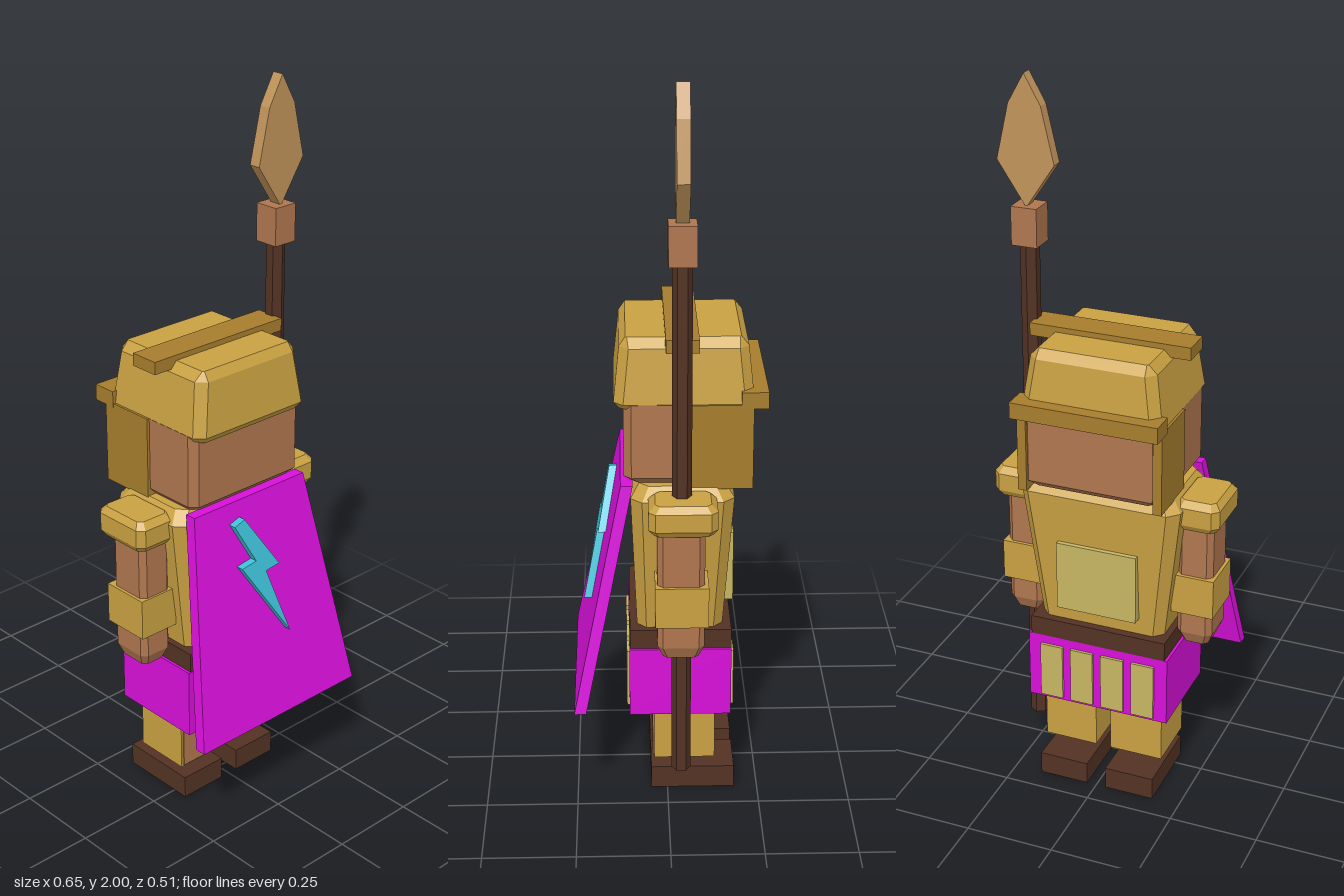
import * as THREE from 'three';

const mat = (name, color) => {
  const m = new THREE.MeshStandardMaterial({ color });
  m.name = name;
  m.flatShading = true;
  return m;
};

// Stack of rectangular rings with cut corners: [y, halfWidth, zBack, zFront, cut]
function loft(rings) {
  const pos = [], idx = [], n = 8;
  for (const [y, w, a, b, c] of rings) {
    const loop = [[w, b - c], [w, a + c], [w - c, a], [c - w, a], [-w, a + c], [-w, b - c], [c - w, b], [w - c, b]];
    for (const [x, z] of loop) pos.push(x, y, z);
  }
  for (let r = 0; r < rings.length - 1; r++) {
    for (let i = 0; i < n; i++) {
      const p = r * n + i, q = r * n + (i + 1) % n;
      idx.push(p, q, q + n, p, q + n, p + n);
    }
  }
  const t = (rings.length - 1) * n;
  for (let i = 1; i < n - 1; i++) idx.push(0, i + 1, i, t, t + i, t + i + 1);
  const g = new THREE.BufferGeometry();
  g.setAttribute('position', new THREE.Float32BufferAttribute(pos, 3));
  g.setIndex(idx);
  const flat = g.toNonIndexed();
  flat.computeVertexNormals();
  return flat;
}

// Box given by its limits on each axis
function block(x0, x1, y0, y1, z0, z1) {
  return new THREE.BoxGeometry(x1 - x0, y1 - y0, z1 - z0)
    .translate((x0 + x1) / 2, (y0 + y1) / 2, (z0 + z1) / 2);
}

// Move each vertex by a rule
function warp(g, rule) {
  const p = g.attributes.position, v = new THREE.Vector3();
  for (let i = 0; i < p.count; i++) {
    rule(v.fromBufferAttribute(p, i));
    p.setXYZ(i, v.x, v.y, v.z);
  }
  g.computeVertexNormals();
  return g;
}

function plate(points, depth) {
  const s = new THREE.Shape(points.map(([x, y]) => new THREE.Vector2(x, y)));
  return new THREE.ExtrudeGeometry(s, { depth, bevelEnabled: false });
}

export function createModel() {
  const model = new THREE.Group();
  const gold = mat('gold', 0xc9a142);
  const darkGold = mat('darkGold', 0xa67d2d);
  const paleGold = mat('paleGold', 0xc6b462);
  const skin = mat('skin', 0xb0764f);
  const brown = mat('darkBrown', 0x533224);
  const magenta = mat('magenta', 0xd810da);
  const cyan = mat('cyan', 0x3fc1d8);
  const bronze = mat('bronze', 0xc0935a);

  const add = (name, geometry, material) => {
    const m = new THREE.Mesh(geometry, material);
    m.name = name;
    model.add(m);
    return m;
  };

  // Head and helmet
  add('head', loft([
    [0.935, 0.175, -0.195, 0.095, 0.02], [0.955, 0.195, -0.215, 0.115, 0.02],
    [1.16, 0.195, -0.215, 0.115, 0.02]]), skin);
  add('helmet', loft([
    [1.14, 0.18, -0.21, 0.125, 0.02], [1.16, 0.196, -0.225, 0.14, 0.025],
    [1.305, 0.175, -0.21, 0.125, 0.025], [1.33, 0.152, -0.19, 0.108, 0.004]]), gold);
  add('helmetBrow', block(-0.205, 0.205, 1.15, 1.195, -0.26, -0.19), darkGold);
  add('helmetCrest', block(-0.225, 0.225, 1.31, 1.345, -0.08, 0.006), darkGold);

  // Body
  add('torso', loft([
    [0.5, 0.178, -0.148, 0.082, 0.025], [0.9, 0.228, -0.175, 0.098, 0.03],
    [0.935, 0.2, -0.15, 0.075, 0.025]]), gold);
  add('chestPlate', block(-0.115, 0.115, 0.56, 0.76, -0.179, -0.13), paleGold);
  add('belt', block(-0.197, 0.197, 0.455, 0.51, -0.172, 0.102), brown);
  add('skirt', block(-0.205, 0.205, 0.255, 0.455, -0.172, 0.104), magenta);
  for (let i = 0; i < 4; i++) {
    const x = -0.135 + i * 0.09;
    add('skirtStripBack', block(x - 0.033, x + 0.033, 0.265, 0.43, -0.18, -0.172), paleGold);
    add('skirtStripFront', block(x - 0.033, x + 0.033, 0.265, 0.43, 0.104, 0.111), paleGold);
  }

  // Paired parts
  for (const s of [-1, 1]) {
    const sided = (name, a, b, y0, y1, z0, z1, m) =>
      add(name, block(Math.min(s * a, s * b), Math.max(s * a, s * b), y0, y1, z0, z1), m);
    sided('cheekGuard', 0.178, 0.203, 0.927, 1.16, -0.222, -0.055, darkGold);
    sided('greave', 0.022, 0.175, 0.1, 0.26, -0.13, 0.036, gold);
    sided('calf', 0.028, 0.169, 0.106, 0.26, 0.036, 0.041, skin);
    sided('boot', 0.028, 0.17, 0, 0.065, -0.185, 0.045, brown);
    sided('bracer', 0.19, 0.309, 0.575, 0.69, -0.105, 0.036, gold);
    add('arm', loft([
      [0.475, 0.036, -0.08, 0.015, 0.012], [0.51, 0.05, -0.095, 0.03, 0.015],
      [0.86, 0.05, -0.095, 0.03, 0.015]]), skin).position.x = s * 0.25;
    add('shoulderPad', loft([
      [0.84, 0.05, -0.115, 0.04, 0.015], [0.858, 0.062, -0.127, 0.053, 0.018],
      [0.908, 0.062, -0.127, 0.053, 0.018], [0.926, 0.048, -0.11, 0.035, 0.012]]), gold).position.x = s * 0.262;
  }

  // Sloping cape, wider at the hem, with a zigzag emblem following its slope
  const slope = (0.935 - 0.305) / 0.13;
  add('cape', warp(block(-1, 1, 0.305, 0.935, 0.092, 0.124), (v) => {
    const d = 0.935 - v.y;
    v.x *= 0.2 + d * 0.137;
    v.z += d / slope;
  }), magenta);
  add('capeZigzag', warp(plate([
    [-0.085, 0.88], [-0.048, 0.89], [0.052, 0.735], [0.002, 0.73],
    [0.058, 0.54], [-0.08, 0.762], [-0.028, 0.768]].reverse(), 0.025), (v) => {
    v.z += 0.12 + (0.935 - v.y) / slope;
  }), cyan);

  // Spear
  const spear = new THREE.Group();
  spear.name = 'spear';
  spear.position.set(0.24, 0, -0.035);
  model.add(spear);
  const shaft = new THREE.CylinderGeometry(0.026, 0.026, 1.45, 6).translate(0, 0.835, 0);
  const tip = plate([[0, 1.65], [0.08, 1.77], [0.045, 1.92], [0, 2], [-0.045, 1.92], [-0.08, 1.77]], 0.034)
    .translate(0, 0, -0.017);
  const parts = [
    ['spearShaft', shaft, brown],
    ['spearSocket', block(-0.036, 0.036, 1.55, 1.655, -0.036, 0.036), skin],
    ['spearTip', tip, bronze]];
  for (const [name, g, m] of parts) {
    const mesh = new THREE.Mesh(g, m);
    mesh.name = name;
    spear.add(mesh);
  }
  return model;
}
